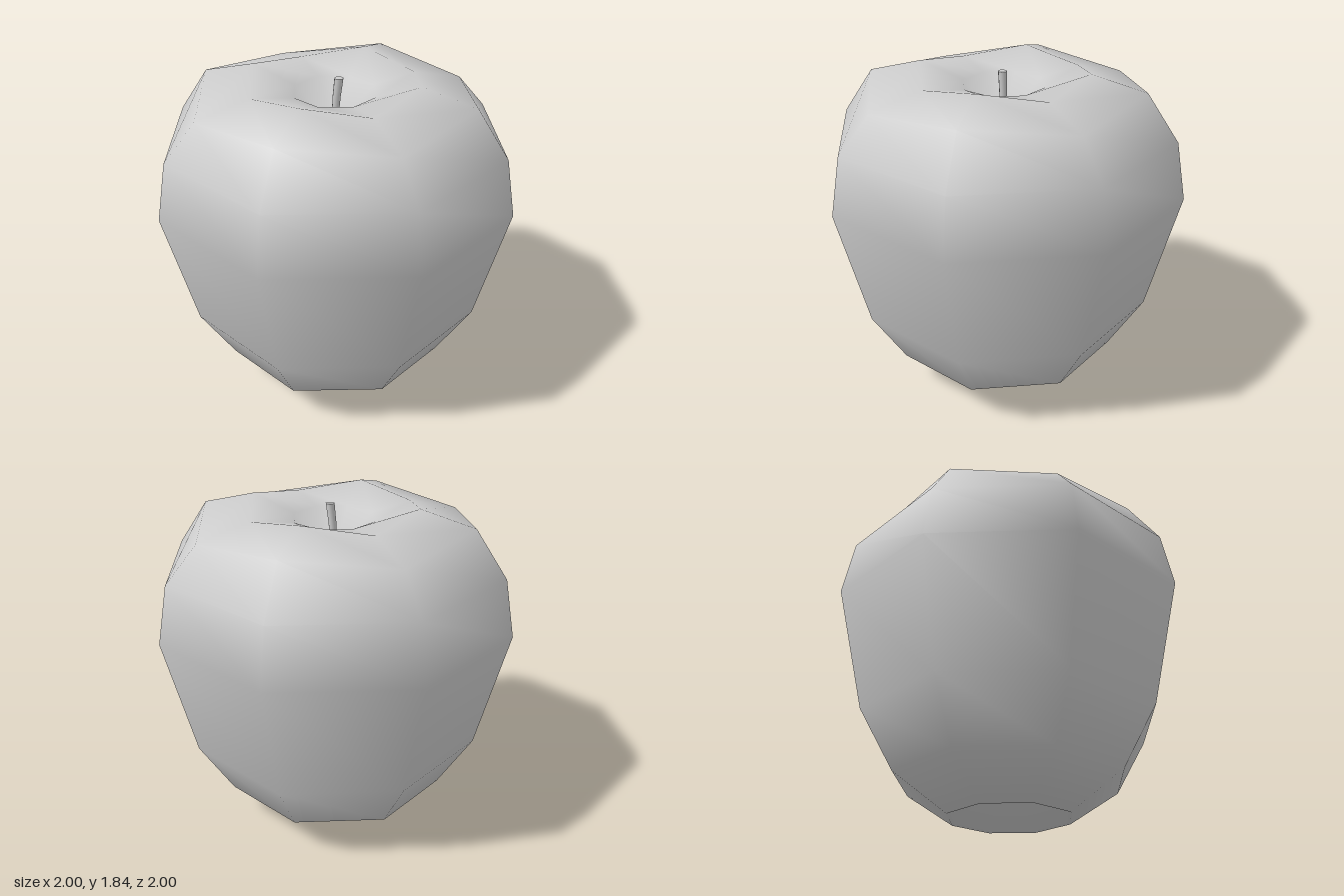
import * as THREE from 'three';
import { mergeVertices } from 'three/addons/utils/BufferGeometryUtils.js';

const SIDES = 8;

// Profile from the bottom dimple round to the stem pit: radius, height, drop at the diagonals
const PROFILE = [
  [0, 0.17, 0], [0.19, 0.11, 0], [0.35, 0, 0], [0.65, 0.2, 0], [0.84, 0.52, 0],
  [1, 1.2, 0], [0.94, 1.515, 0], [0.765, 1.765, 0.055], [0.47, 1.84, 0.055],
  [0.23, 1.75, 0], [0, 1.54, 0],
];

// Eight-sided lathe whose upper rings dip at every second corner, giving the lobed crown
function bodyGeometry() {
  const points = PROFILE.map(([r, y]) => new THREE.Vector2(r, y));
  const lathe = new THREE.LatheGeometry(points, SIDES);
  const pos = lathe.attributes.position;
  for (let i = 0; i < pos.count; i++) {
    const side = Math.floor(i / PROFILE.length);
    const drop = PROFILE[i % PROFILE.length][2];
    if (side % 2 === 1) pos.setY(i, pos.getY(i) - drop);
  }
  // Weld the seam and poles so the shading is smooth all round
  lathe.deleteAttribute('uv');
  lathe.deleteAttribute('normal');
  const welded = mergeVertices(lathe, 1e-4);
  welded.computeVertexNormals();
  return welded;
}

// Short stalk that widens upwards and curves slightly to one side
function stemGeometry() {
  const height = 0.3;
  const geometry = new THREE.CylinderGeometry(0.025, 0.018, height, 8, 3);
  const pos = geometry.attributes.position;
  for (let i = 0; i < pos.count; i++) {
    const t = pos.getY(i) / height + 0.5;
    pos.setX(i, pos.getX(i) + 0.022 * t * t);
    pos.setY(i, pos.getY(i) - (t === 1 ? 0.25 * (pos.getX(i) - 0.022) : 0));
  }
  return geometry;
}

export function createModel() {
  const model = new THREE.Group();
  model.name = 'apple';
  const material = new THREE.MeshStandardMaterial({ color: 0xcccccc });

  const body = new THREE.Mesh(bodyGeometry(), material);
  body.name = 'body';

  const stem = new THREE.Mesh(stemGeometry(), material);
  stem.name = 'stem';
  stem.position.y = 1.675;

  model.add(body, stem);
  return model;
}
